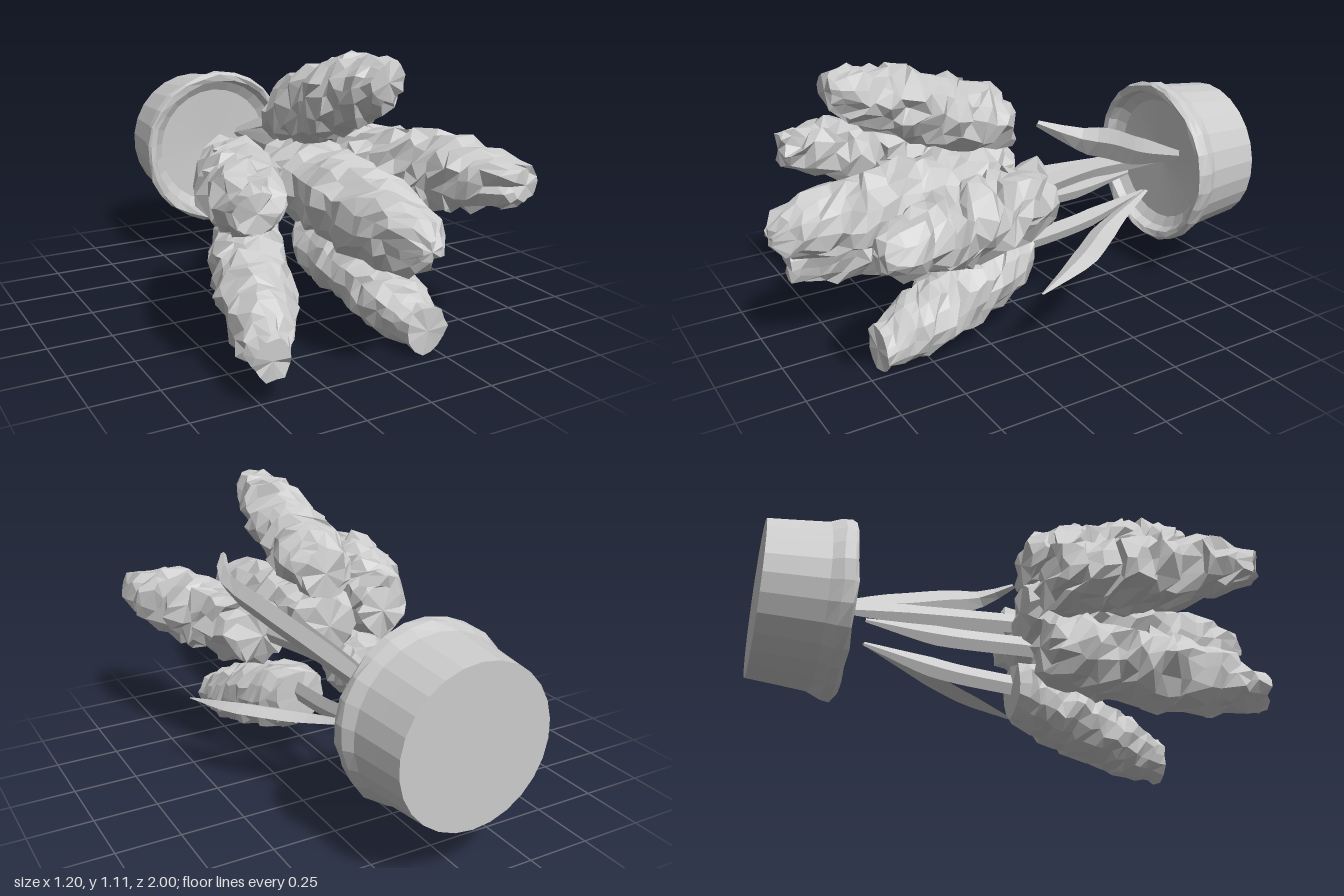
import * as THREE from 'three';

const faceted = new THREE.MeshStandardMaterial({ color: 0xcccccc, flatShading: true, side: THREE.DoubleSide });
const V = (p) => new THREE.Vector3(...p);

// Seeded noise in -1..1
const noise = (a, b, s) => {
  const v = Math.sin(a * 127.1 + b * 311.7 + s * 74.7) * 43758.5453;
  return 2 * (v - Math.floor(v)) - 1;
};

// Radius along a spike from its base (0) to its tip (1)
const PROFILE = [[0, 0.75], [0.06, 0.93], [0.2, 1], [0.5, 1], [0.7, 0.93], [0.88, 0.72], [0.96, 0.5], [1, 0.25]];
function radiusAt(t) {
  const i = Math.max(1, PROFILE.findIndex((p) => t <= p[0]));
  const [t0, r0] = PROFILE[i - 1], [t1, r1] = PROFILE[i];
  return THREE.MathUtils.mapLinear(t, t0, t1, r0, r1);
}

// Flower spike: a long body with jagged florets, its rings all facing +z, so both ends are cut square
function flowerSpike(name, base, tip, radius, rough, blunt, seed) {
  const n = 14, m = 20, a = V(base), b = V(tip), p = new THREE.Vector3();
  const geo = new THREE.SphereGeometry(1, n, m), pos = geo.attributes.position;
  for (let j = 0; j <= m; j++) {
    for (let i = 0; i <= n; i++) {
      const c = i % n, pole = j === 0 || j === m;
      const t = THREE.MathUtils.clamp(1 - (j - 1) / (m - 2), 0, 1);
      const r = pole ? 0 : radius * Math.max(blunt, radiusAt(t)) * (1 + rough * noise(c, j, seed));
      const angle = (c + rough * 2 * noise(c, j, seed + 5)) / n * Math.PI * 2;
      const shift = pole ? 0 : rough * 0.16 * noise(c, j, seed + 9);
      p.lerpVectors(a, b, t);
      pos.setXYZ(j * (n + 1) + i, p.x - Math.cos(angle) * r, p.y - Math.sin(angle) * r,
        THREE.MathUtils.clamp(p.z + shift, a.z, b.z));
    }
  }
  geo.computeVertexNormals();
  const mesh = new THREE.Mesh(geo, faceted);
  mesh.name = name;
  return mesh;
}

// Stem or leaf: a four-sided tube, flattened along one axis; each end narrows to the given share
function blade(name, points, width, flatAxis, startShare, endShare) {
  const curve = new THREE.CatmullRomCurve3(points.map(V));
  const segments = 12, sides = 4;
  const geo = new THREE.TubeGeometry(curve, segments, width, sides);
  const pos = geo.attributes.position, axis = V(flatAxis).normalize(), p = new THREE.Vector3();
  for (let j = 0; j <= segments; j++) {
    const t = j / segments, centre = curve.getPointAt(t);
    const scale = Math.min(1, startShare + 2 * t, endShare + 3 * (1 - t));
    for (let i = 0; i <= sides; i++) {
      const k = j * (sides + 1) + i;
      p.fromBufferAttribute(pos, k).sub(centre);
      p.addScaledVector(axis, -0.6 * p.dot(axis)).multiplyScalar(scale).add(centre);
      pos.setXYZ(k, p.x, p.y, p.z);
    }
  }
  geo.computeVertexNormals();
  const mesh = new THREE.Mesh(geo, faceted);
  mesh.name = name;
  return mesh;
}

function createPot() {
  // Tapered outside, rolled lip, shallow dished soil inside
  const profile = [
    [0, -1], [0.298, -1], [0.31, -0.88], [0.322, -0.77], [0.343, -0.725], [0.347, -0.69],
    [0.335, -0.675], [0.312, -0.68], [0.3, -0.72], [0.26, -0.745], [0, -0.755],
  ].map(([r, y]) => new THREE.Vector2(r, y));
  const sides = 26;
  const geo = new THREE.LatheGeometry(profile, sides), pos = geo.attributes.position;
  // Slightly uneven lip
  for (let i = 0; i <= sides; i++) {
    for (let j = 4; j <= 7; j++) {
      const k = i * profile.length + j, s = 1 + 0.018 * noise(i % sides, j, 3);
      pos.setXYZ(k, pos.getX(k) * s, pos.getY(k) + 0.006 * noise(i % sides, j, 8), pos.getZ(k) * s);
    }
  }
  geo.computeVertexNormals();
  const pot = new THREE.Mesh(geo, faceted);
  pot.name = 'pot';
  pot.rotation.x = Math.PI / 2;
  pot.position.set(0.015, 0.51, 0);
  return pot;
}

export function createModel() {
  const group = new THREE.Group();
  group.name = 'pottedFlowers';
  group.add(createPot());

  // Flower spikes: name, base, tip, radius, roughness, tip share
  const spikes = [
    ['topSpike', [-0.01, 0.81, 0.03], [-0.03, 1.03, 0.75], 0.14, 0.16, 0.5],
    ['upperRightSpike', [-0.28, 0.61, 0.03], [-0.52, 0.67, 0.78], 0.14, 0.19, 0.5],
    ['upperLeftSpike', [0.27, 0.6, 0.03], [0.52, 0.63, 0.81], 0.14, 0.19, 0.4],
    ['middleSpike', [-0.02, 0.59, 0.02], [-0.02, 0.53, 1.0], 0.155, 0.15, 0.25],
    ['lowerRightSpike', [-0.22, 0.36, 0.03], [-0.48, 0.18, 0.8], 0.145, 0.16, 0.5],
    ['lowerLeftSpike', [0.11, 0.31, 0.03], [0.2, 0.1, 0.7], 0.145, 0.1, 0.62],
  ];
  spikes.forEach(([name, base, tip, r, rough, blunt], i) =>
    group.add(flowerSpike(name, base, tip, r, rough, blunt, i + 1)));

  // Stems leading from the pot to the spikes
  const root = [0.13, 0.56, -0.74];
  const stems = [
    [root, [0.11, 0.58, -0.35], [0.1, 0.6, 0.08]],
    [root, [0.17, 0.61, -0.3], [0.25, 0.61, 0.08]],
    [[-0.01, 0.47, -0.59], [0, 0.45, -0.3], [-0.01, 0.45, 0.08]],
    [[0.12, 0.43, -0.57], [0.12, 0.36, -0.25], [0.12, 0.33, 0.08]],
  ];
  stems.forEach((points) => group.add(blade('stem', points, 0.042, [1, 0, 0], 0.2, 1)));

  // Two arching leaves
  group.add(blade('upperLeaf',
    [root, [0.24, 0.67, -0.43], [0.36, 0.78, -0.2], [0.43, 0.86, 0], [0.38, 0.92, 0.13]],
    0.058, [0.7, -0.4, -0.6], 0.4, 0.2));
  group.add(blade('lowerLeaf',
    [[0.14, 0.44, -0.57], [0.25, 0.38, -0.3], [0.42, 0.36, -0.05], [0.52, 0.33, 0.19]],
    0.052, [0, 1, 0], 0.2, 0.1));
  return group;
}
